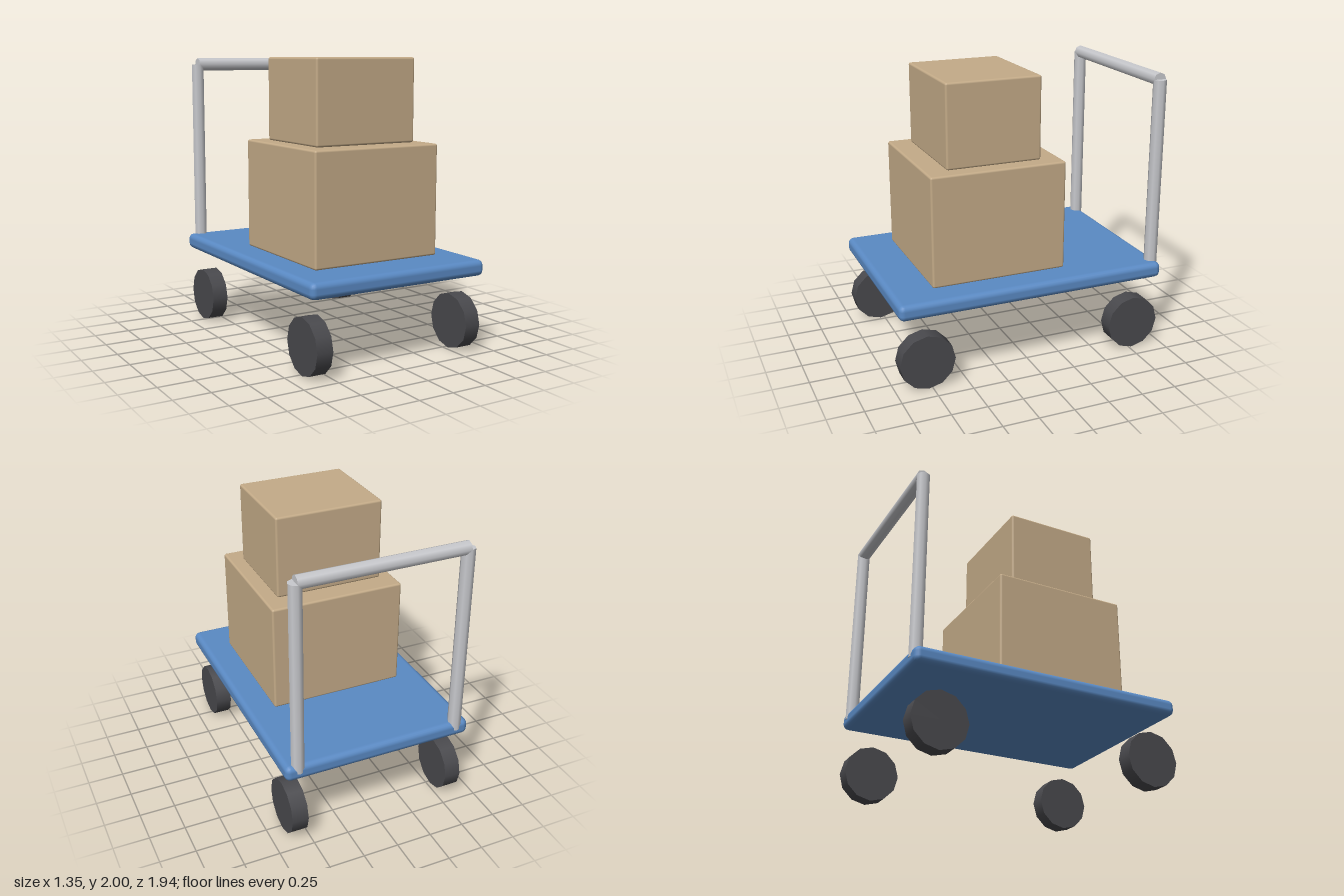
import * as THREE from 'three';
import { RoundedBoxGeometry } from 'three/addons/geometries/RoundedBoxGeometry.js';

export function createModel() {
  const model = new THREE.Group();
  model.name = 'platformTrolley';

  const material = (name, color) => {
    const m = new THREE.MeshStandardMaterial({ color });
    m.name = name;
    return m;
  };
  const blue = material('deckBlue', 0x5a8ac4);
  const cardboard = material('cardboard', 0xc4ab88);
  const steel = material('steel', 0xc8c9cd);
  const rubber = material('rubber', 0x49494d);

  const add = (name, geometry, mat, x, y, z) => {
    const mesh = new THREE.Mesh(geometry, mat);
    mesh.name = name;
    mesh.position.set(x, y, z);
    model.add(mesh);
    return mesh;
  };

  // Deck
  add('deck', new RoundedBoxGeometry(1.354, 0.112, 1.936, 2, 0.04), blue, 0, 0.587, 0.004);

  // Stacked boxes
  add('lowerBox', new RoundedBoxGeometry(0.966, 0.774, 0.967, 2, 0.015), cardboard, 0, 1.031, 0.197);
  add('upperBox', new RoundedBoxGeometry(0.774, 0.58, 0.677, 2, 0.015), cardboard, 0, 1.71, 0.197);

  // Push handle: two posts and a cross bar
  const tube = 0.047, postX = 0.582, handleZ = -0.925;
  const bottom = 0.587, top = 1.945;
  const postGeometry = new THREE.CylinderGeometry(tube, tube, top - bottom, 8);
  const barGeometry = new THREE.CylinderGeometry(tube, tube, postX * 2, 8).rotateZ(Math.PI / 2);
  // Turn the bar so a ridge points straight up
  for (const side of [1, -1]) {
    add(side > 0 ? 'leftPost' : 'rightPost', postGeometry, steel, side * postX, (top + bottom) / 2, handleZ);
  }
  add('handleBar', barGeometry, steel, 0, top, handleZ);

  // Wheels
  const wheelGeometry = new THREE.CylinderGeometry(0.194, 0.194, 0.115, 12).rotateZ(Math.PI / 2);
  for (const side of [1, -1]) {
    for (const end of [1, -1]) {
      const name = (end > 0 ? 'front' : 'back') + (side > 0 ? 'Left' : 'Right') + 'Wheel';
      add(name, wheelGeometry, rubber, side * 0.582, 0.194, 0.004 + end * 0.775);
    }
  }

  return model;
}
